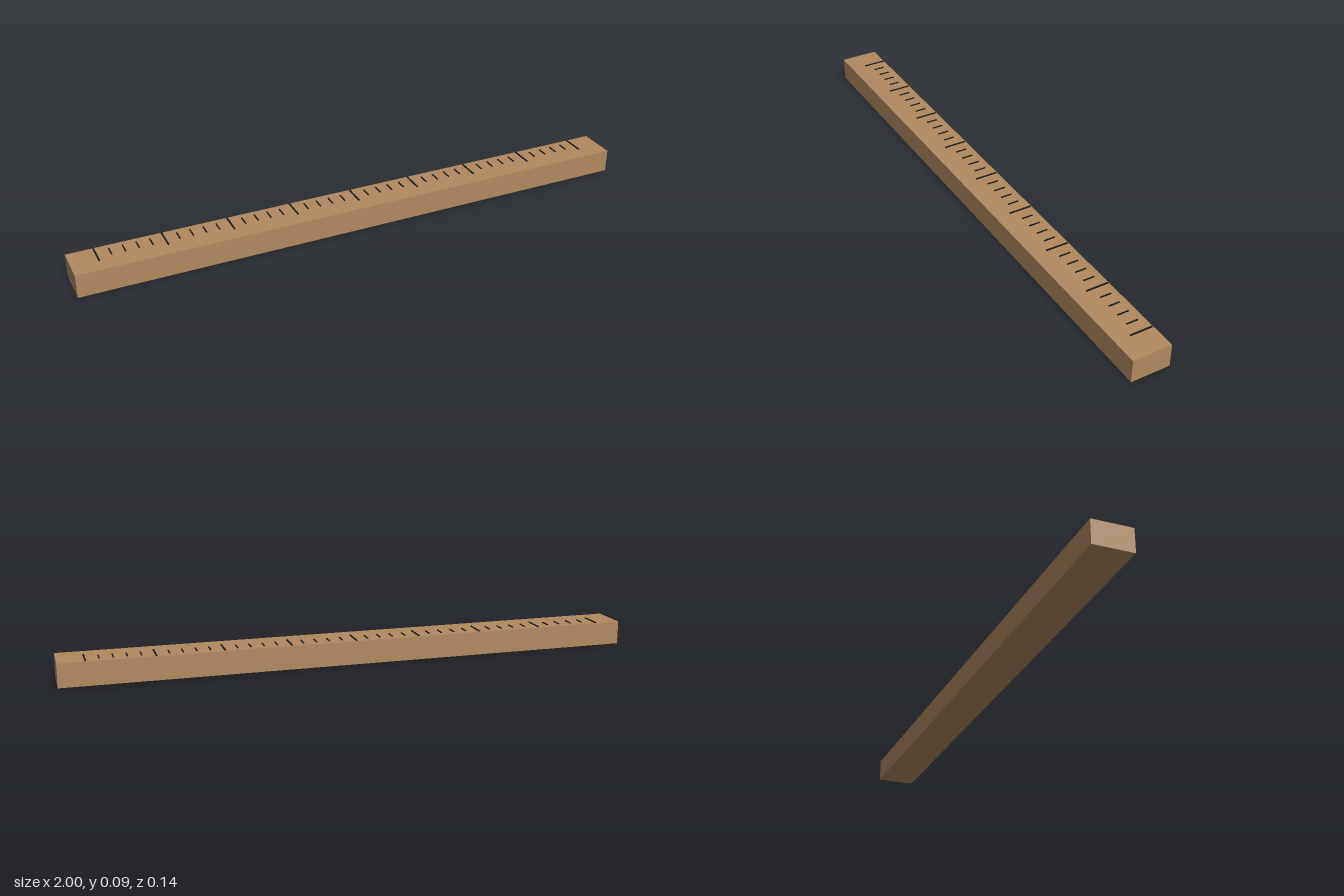
import * as THREE from 'three';

export function createModel() {
  const model = new THREE.Group();
  const wood = new THREE.MeshStandardMaterial({ color: 0xb08a60 });
  const ink = new THREE.MeshStandardMaterial({ color: 0x1c1c1c });

  const height = 0.082, step = 2 / 44;

  // Solid wooden bar
  const bar = new THREE.Mesh(new THREE.BoxGeometry(2, height, 0.137), wood);
  bar.name = 'bar';
  bar.position.y = height / 2;
  model.add(bar);

  // Raised scale marks along the back half of the top, every fifth one long
  const marks = new THREE.Group();
  marks.name = 'scaleMarks';
  const longMark = new THREE.BoxGeometry(0.005, 0.004, 0.08);
  const shortMark = new THREE.BoxGeometry(0.004, 0.004, 0.04);
  for (let i = -20; i <= 20; i++) {
    const isLong = i % 5 === 0;
    const mark = new THREE.Mesh(isLong ? longMark : shortMark, ink);
    mark.name = isLong ? 'longMark' : 'shortMark';
    mark.position.set(i * step, height + 0.001, -0.025);
    marks.add(mark);
  }
  model.add(marks);

  return model;
}
